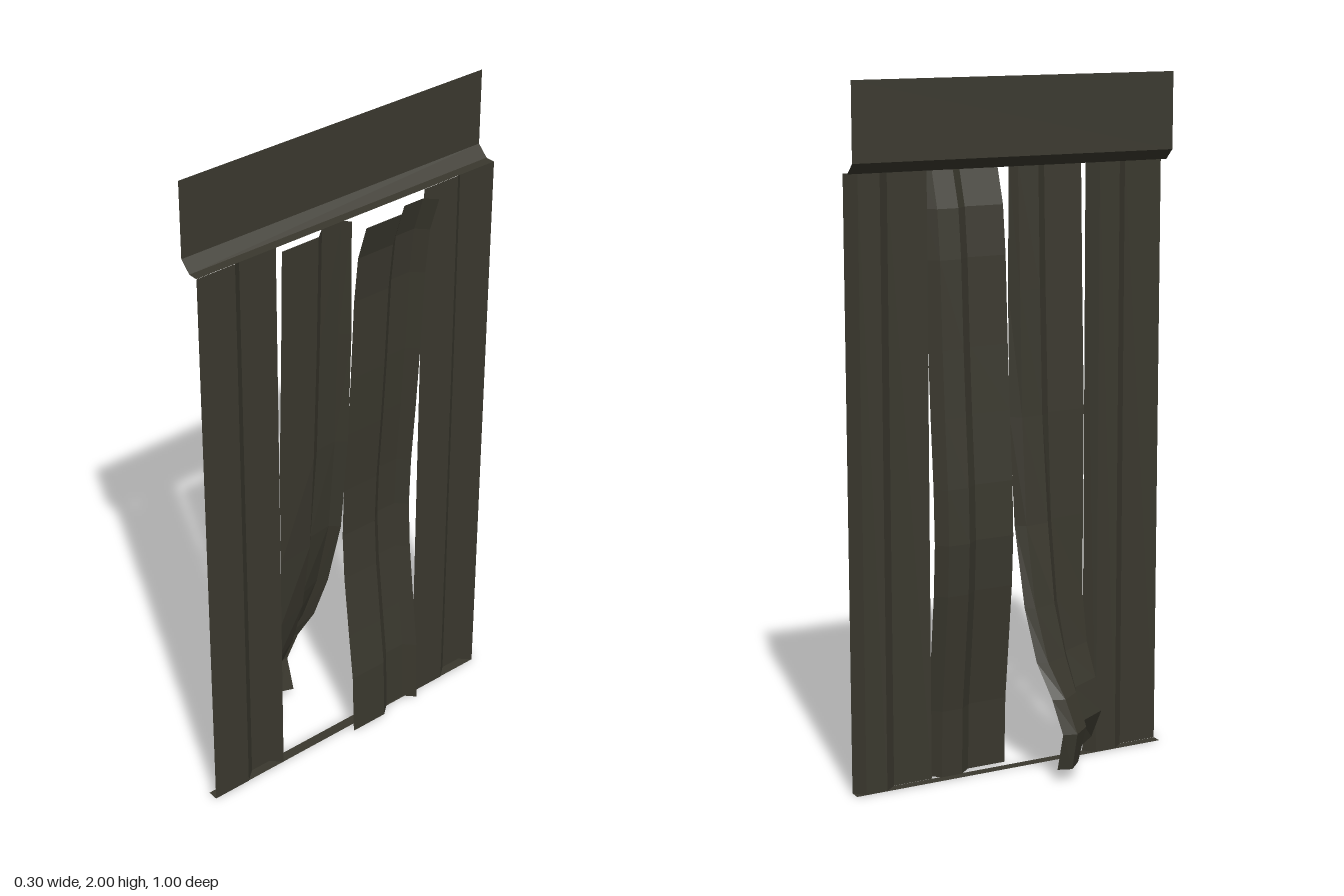
import * as THREE from 'three';

const weathered = new THREE.MeshStandardMaterial({ color: 0x3a382e, flatShading: true, side: THREE.DoubleSide });
weathered.name = 'darkWeatheredMetal';

// One corrugation rib: [distance from the rib's front edge, x]
const RIB = [[0, 0.09], [0.12, 0.09], [0.155, 0.06], [0.22, 0.06], [0.25, 0.09]];

// Skin a sheet through rows of [x, y, z] points
function sheet(name, rows) {
  const n = rows[0].length;
  const index = [];
  for (let r = 0; r < rows.length - 1; r++) {
    for (let c = 0; c < n - 1; c++) {
      const a = r * n + c, b = a + n;
      index.push(a, b, a + 1, a + 1, b, b + 1);
    }
  }
  const geo = new THREE.BufferGeometry();
  geo.setAttribute('position', new THREE.Float32BufferAttribute(rows.flat(2), 3));
  geo.setIndex(index);
  geo.computeVertexNormals();
  const mesh = new THREE.Mesh(geo, weathered);
  mesh.name = name;
  return mesh;
}

// A rib row at height y, starting at z and pushed sideways by dx
const ribRow = (z, y, dx = 0) => RIB.map(([d, x]) => [x + dx, y, z - d]);

// A strip of constant section running the full width
const strip = (name, section) =>
  sheet(name, section.map(([x, y]) => [[x, y, 0.5], [x, y, -0.5]]));

export function createModel() {
  const group = new THREE.Group();
  group.name = 'damagedCorrugatedPanel';

  // Top plate with its folded lower flange, and the floor flange
  group.add(strip('headerPlate', [[0.028, 2], [0.028, 1.78], [0.06, 1.75], [0.089, 1.75]]));
  group.add(strip('floorFlange', [[0.089, 0], [0.058, 0]]));

  // Straight outer ribs
  group.add(sheet('frontOuterRib', [ribRow(0.5, 1.75), ribRow(0.5, 0)]));
  group.add(sheet('backOuterRib', [ribRow(-0.25, 1.75), ribRow(-0.25, 0)]));

  // Buckled rib, torn forward at the top and bowed inward at mid height: [y, dx]
  const buckle = [
    [1.745, 0.06], [1.64, 0.027], [1.5, 0.012], [1.25, 0], [1.06, -0.012], [0.86, -0.027],
    [0.7, -0.032], [0.55, -0.023], [0.35, 0], [0.2, 0.018], [0, 0.025],
  ];
  group.add(sheet('buckledRib', buckle.map(([y, dx]) => ribRow(0, y, dx))));

  // Peeled rib, curling out and twisting at its loose lower end: y, then [x, z] across
  const peel = [
    [1.75, [0.115, 0.25], [0.115, 0.13], [0.085, 0.095], [0.085, 0.03], [0.105, 0.012]],
    [1.4, [0.105, 0.25], [0.105, 0.13], [0.075, 0.095], [0.072, 0.03], [0.098, 0.005]],
    [1.04, [0.092, 0.25], [0.09, 0.13], [0.06, 0.095], [0.056, 0.028], [0.08, 0]],
    [0.73, [0.085, 0.245], [0.07, 0.13], [0.035, 0.1], [0.025, 0.025], [0.05, 0]],
    [0.5, [0.072, 0.237], [0.035, 0.13], [-0.005, 0.1], [-0.03, 0.025], [-0.01, 0]],
    [0.35, [0.05, 0.24], [0, 0.14], [-0.045, 0.115], [-0.078, 0.04], [-0.06, 0.012]],
    [0.25, [0.015, 0.25], [-0.04, 0.15], [-0.08, 0.13], [-0.125, 0.07], [-0.11, 0.035]],
    [0.15, [0, 0.262], [-0.06, 0.16], [-0.105, 0.15], [-0.15, 0.095], [-0.138, 0.055]],
    [0.06, [0.037, 0.25], [-0.05, 0.145], [-0.085, 0.135], [-0.13, 0.09], [-0.115, 0.05]],
  ];
  group.add(sheet('peeledRib', peel.map(([y, ...points]) =>
    points.map(([x, z], i) => [x, y < 0.1 && i > 1 ? 0.04 : y, z]))));

  return group;
}
